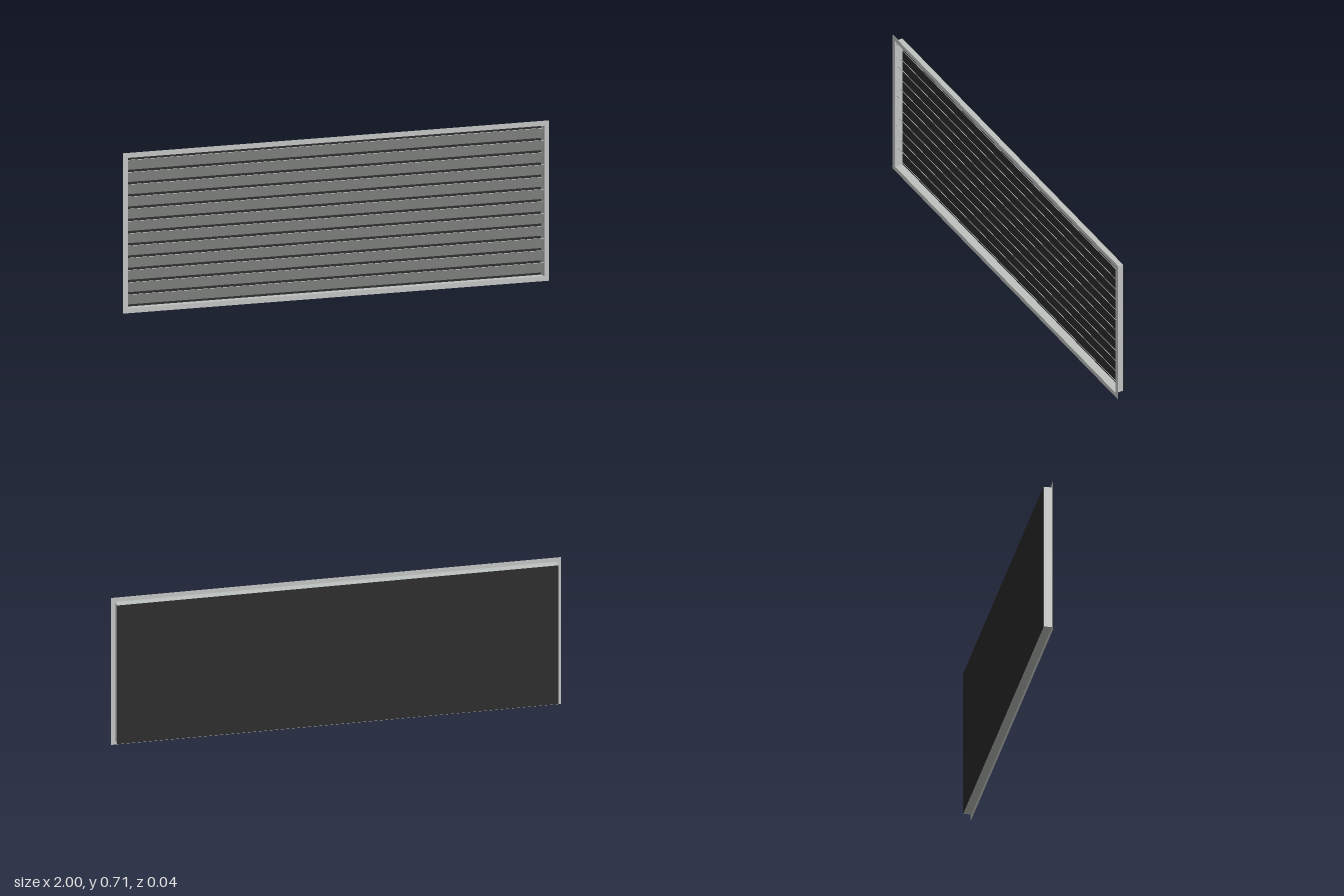
import * as THREE from 'three';

// Rectangular ring with a rectangular hole, extruded from z0 to z1
function frame(w, h, border, z0, z1) {
  const rect = (P, a, b) => {
    const p = new P();
    p.moveTo(-a, -b); p.lineTo(a, -b); p.lineTo(a, b); p.lineTo(-a, b); p.closePath();
    return p;
  };
  const shape = rect(THREE.Shape, w / 2, h / 2);
  shape.holes.push(rect(THREE.Path, w / 2 - border, h / 2 - border));
  const geo = new THREE.ExtrudeGeometry(shape, { depth: z1 - z0, bevelEnabled: false });
  return geo.translate(0, 0, z0);
}

export function createModel() {
  const metal = new THREE.MeshStandardMaterial({ color: 0xc0c4c1 });
  metal.name = 'light grey metal';
  const dark = new THREE.MeshStandardMaterial({ color: 0x2c2c2c });
  dark.name = 'dark backing';

  const group = new THREE.Group();
  group.name = 'louvredVent';
  const add = (name, geo, mat, y, z = 0) => {
    const mesh = new THREE.Mesh(geo, mat);
    mesh.name = name;
    mesh.position.set(0, y, z);
    group.add(mesh);
    return mesh;
  };

  const midY = 0.355;
  // Thin front flange and the shallow duct behind it
  add('flange', frame(2, 0.71, 0.022, 0.0185, 0.02), metal, midY);
  add('duct', frame(1.96, 0.67, 0.002, -0.018, 0.0185), metal, midY);

  // Dark panel closing the back
  add('backPanel', new THREE.BoxGeometry(1.96, 0.67, 0.0015), dark, midY, -0.0188);

  // Twelve slats, leaning forward so their faces look down
  const count = 12, pitch = 0.0542, rise = 0.049, depth = 0.033;
  const slat = new THREE.BoxGeometry(1.955, Math.hypot(rise, depth), 0.002);
  for (let i = 0; i < count; i++) {
    const mesh = add('slat' + (i + 1), slat, metal, midY + (i - (count - 1) / 2) * pitch, 0.0005);
    mesh.rotation.x = Math.atan2(depth, rise);
  }
  return group;
}
